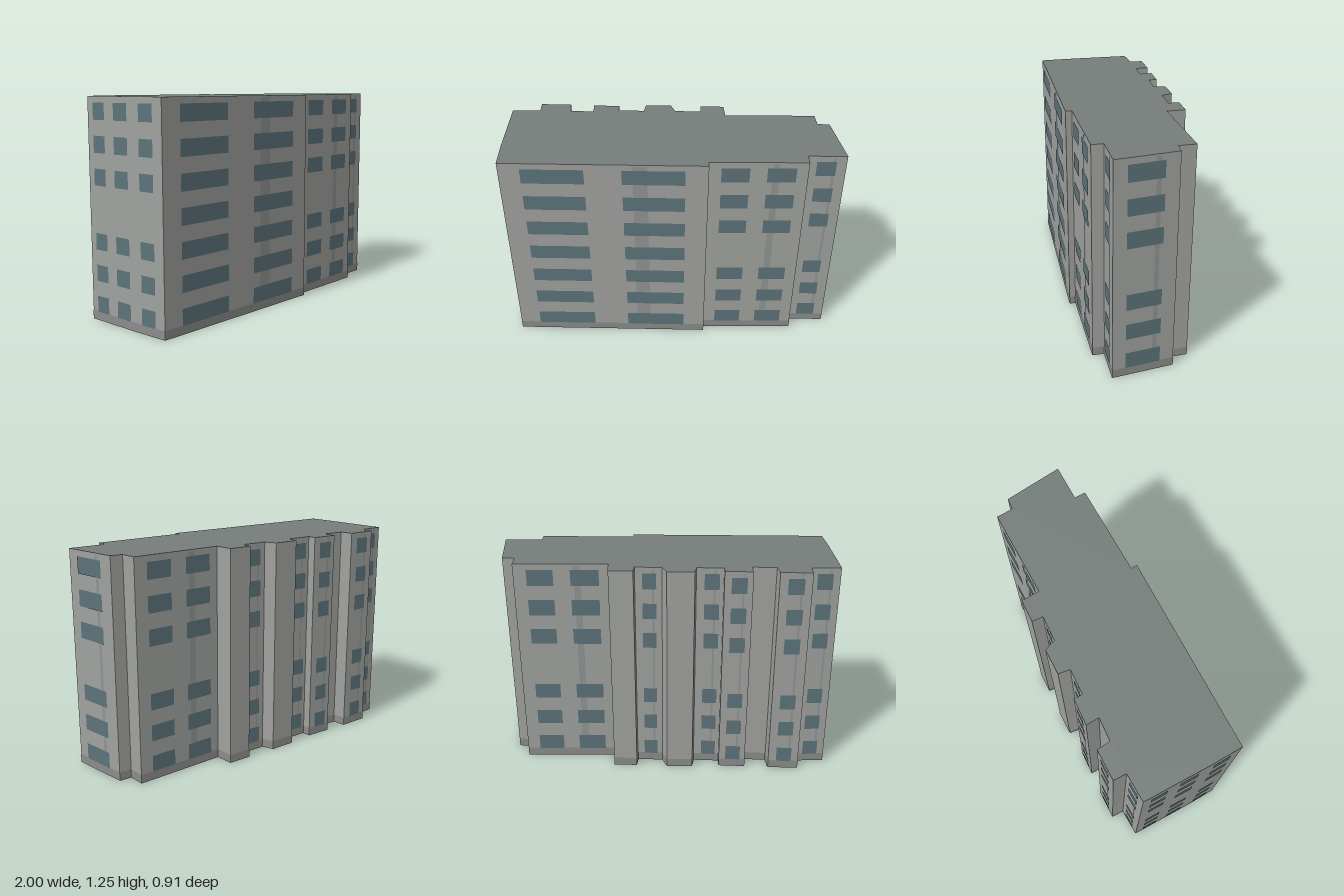
import * as THREE from 'three';
import { mergeGeometries } from 'three/addons/utils/BufferGeometryUtils.js';

const HEIGHT = 1.25, PLINTH = 0.05;
const FLOOR = 0.179, FIRST = 0.095, WIN_H = 0.093, FLOORS = 7, BLANK_FLOOR = 3;

// Footprint corners with the facade that starts at each one:
// [x, z, window spans as fractions seen left to right from outside, options]
const FOOTPRINT = [
  // back, from the model's right to its left
  [-1, -0.12, [[0.22, 0.75]]],
  [-0.84, -0.16],
  [-0.855, -0.235, [[0.26, 0.76]]],
  [-0.68, -0.27],
  [-0.655, -0.195],
  [-0.52, -0.215],
  [-0.54, -0.29, [[0.25, 0.8]]],
  [-0.385, -0.315],
  [-0.375, -0.265, [[0.3, 0.85]]],
  [-0.225, -0.29],
  [-0.23, -0.36],
  [-0.08, -0.39],
  [-0.04, -0.33, [[0.28, 0.79]]],
  [0.11, -0.355],
  [0.1, -0.42],
  [0.235, -0.445],
  [0.265, -0.34, [[0.14, 0.42], [0.6, 0.9]]],
  [0.785, -0.455],
  [0.81, -0.36],
  // end wall on +x
  [0.88, -0.37, [[0.21, 0.77]]],
  // front
  [1, -0.04, [[0.24, 0.74]]],
  [0.785, 0.005],
  [0.8, 0.07, [[0.13, 0.415], [0.59, 0.88]]],
  [0.26, 0.19],
  [0.27, 0.225, [[0.105, 0.408], [0.588, 0.89]], { allFloors: true }],
  // bent end wall on -x
  [-0.87, 0.45, [[0.1, 0.65]], { noStripe: true }],
  [-0.915, 0.27, [[0.12, 0.36], [0.55, 0.82]], { noStripe: true }],
];

// Upright rectangle on the wall a-b, between fractions f0..f1 and heights y0..y1
function panel(a, b, f0, f1, y0, y1, offset) {
  const dx = b[0] - a[0], dz = b[1] - a[1];
  const len = Math.hypot(dx, dz);
  const nx = dz / len, nz = -dx / len;
  const t = 1 - (f0 + f1) / 2;
  const g = new THREE.PlaneGeometry(len * (f1 - f0), y1 - y0);
  g.rotateY(Math.atan2(nx, nz));
  g.translate(a[0] + dx * t + nx * offset, (y0 + y1) / 2, a[1] + dz * t + nz * offset);
  return g;
}

export function createModel() {
  const group = new THREE.Group();
  const walls = [], plinth = [], stripes = [], windows = [];

  FOOTPRINT.forEach((a, i) => {
    const b = FOOTPRINT[(i + 1) % FOOTPRINT.length];
    const [, , columns, options = {}] = a;
    walls.push(panel(a, b, 0, 1, 0, HEIGHT, 0));
    plinth.push(panel(a, b, 0, 1, 0, PLINTH, 0.002));
    if (!columns) return;
    if (!options.noStripe) stripes.push(panel(a, b, 0.64, 0.71, PLINTH, HEIGHT - 0.01, 0.002));
    for (let k = 0; k < FLOORS; k++) {
      if (k === BLANK_FLOOR && !options.allFloors) continue;
      const y = FIRST + k * FLOOR;
      for (const [f0, f1] of columns) {
        windows.push(panel(a, b, f0, f1, y - WIN_H / 2, y + WIN_H / 2, 0.004));
      }
    }
  });

  const add = (name, geometry, color, side = THREE.FrontSide) => {
    const mesh = new THREE.Mesh(geometry, new THREE.MeshStandardMaterial({ color, side }));
    mesh.name = name;
    group.add(mesh);
  };

  // Open-bottomed shell of walls with surface details
  add('walls', mergeGeometries(walls), 0xa0a29e, THREE.DoubleSide);
  add('plinth', mergeGeometries(plinth), 0x8a8c8a);
  add('wallStripes', mergeGeometries(stripes), 0x909492);
  add('windows', mergeGeometries(windows), 0x5c737a);

  // Flat roof following the footprint
  const shape = new THREE.Shape(FOOTPRINT.map(([x, z]) => new THREE.Vector2(x, -z)));
  const roof = new THREE.ShapeGeometry(shape);
  roof.rotateX(-Math.PI / 2);
  roof.translate(0, HEIGHT, 0);
  add('roof', roof, 0x757d7a, THREE.DoubleSide);

  return group;
}
